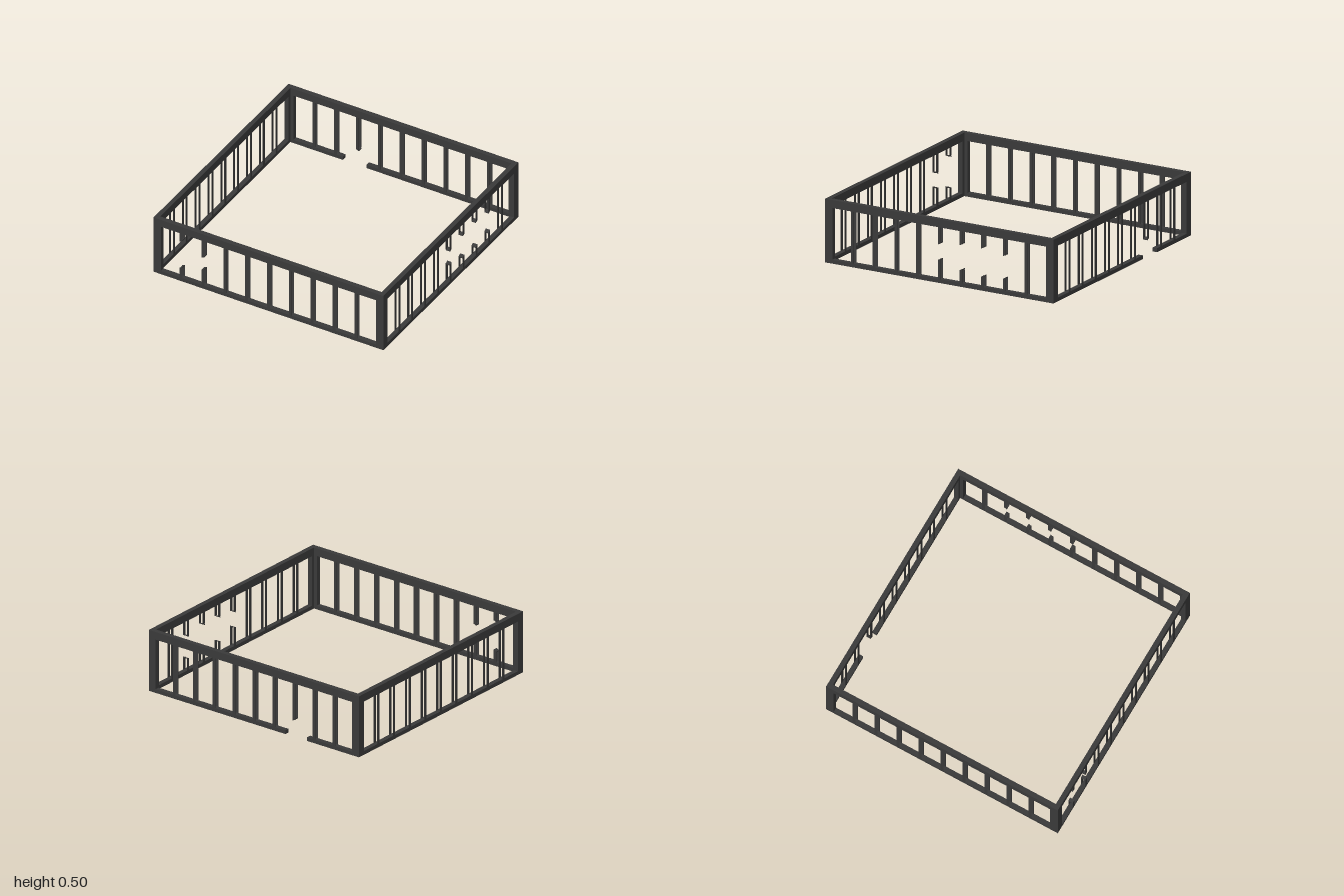
import * as THREE from 'three';

const T = 0.038;          // wall thickness
const BAR = 0.024;        // bar width
const SKIN = 0.004;       // thickness of the bar plates
const RAIL_LOW = 0.03, RAIL_HIGH = 0.437, TOP = 0.5;

const iron = new THREE.MeshStandardMaterial({ color: 0x3a3a3a });
iron.name = 'dark iron';

// Box given by its extents
function block(parent, name, x0, x1, y0, y1, z0, z1) {
  const mesh = new THREE.Mesh(new THREE.BoxGeometry(x1 - x0, y1 - y0, z1 - z0), iron);
  mesh.position.set((x0 + x1) / 2, (y0 + y1) / 2, (z0 + z1) / 2);
  mesh.name = name;
  parent.add(mesh);
}

// Hollow bar: an outer and an inner plate, open at the sides
function bar(parent, name, x, y0, y1) {
  const a = x - BAR / 2, b = x + BAR / 2;
  block(parent, name + 'OuterPlate', a, b, y0, y1, 1 - SKIN, 1);
  block(parent, name + 'InnerPlate', a, b, y0, y1, 1 - T, 1 - T + SKIN);
}

// Closed, slanted end of a broken bar
function brokenEnd(parent, x, y) {
  const g = new THREE.BoxGeometry(BAR, 0.008, T);
  const p = g.attributes.position;
  for (let i = 0; i < p.count; i++) p.setY(i, p.getY(i) + p.getX(i) * 0.5);
  g.computeVertexNormals();
  const cap = new THREE.Mesh(g, iron);
  cap.position.set(x, y, 1 - T / 2);
  cap.name = 'brokenEnd';
  parent.add(cap);
}

// One side of the railing, facing +z. broken maps bar index (-4..4) to
// [end of upper stub, end of lower stub]; gap is a missing piece of bottom rail.
function wall(name, turn, half, broken = {}, gap = null) {
  const g = new THREE.Group();
  g.name = name;
  block(g, 'topRail', -half, half, RAIL_HIGH, TOP, 1 - T, 1);
  if (gap) {
    block(g, 'bottomRail', -half, gap[0], 0, RAIL_LOW, 1 - T, 1);
    block(g, 'bottomRail', gap[1], half, 0, RAIL_LOW, 1 - T, 1);
  } else {
    block(g, 'bottomRail', -half, half, 0, RAIL_LOW, 1 - T, 1);
  }
  block(g, 'cornerPost', -half, -0.935, RAIL_LOW, RAIL_HIGH, 1 - T, 1);
  block(g, 'cornerPost', 0.935, half, RAIL_LOW, RAIL_HIGH, 1 - T, 1);

  for (let i = -4; i <= 4; i++) {
    const x = i * 0.19;
    if (!broken[i]) {
      bar(g, 'bar', x, RAIL_LOW, RAIL_HIGH);
      continue;
    }
    const [upper, lower] = broken[i];
    bar(g, 'upperStub', x, upper, RAIL_HIGH);
    brokenEnd(g, x, upper);
    if (lower) {
      bar(g, 'lowerStub', x, RAIL_LOW, lower);
      brokenEnd(g, x, lower);
    }
  }
  g.rotation.y = turn;
  return g;
}

export function createModel() {
  const model = new THREE.Group();
  model.name = 'brokenRailing';
  model.add(
    wall('frontWall', 0, 1, { '-4': [0.37, 0.12], '-3': [0.29, 0.17] }),
    wall('leftWall', Math.PI / 2, 1 - T, {
      0: [0.31, 0.18], 1: [0.335, 0.13], 2: [0.34, 0.11], 3: [0.31, 0.125],
    }),
    wall('backWall', Math.PI, 1, { 2: [0.14, 0] }, [0.3, 0.505]),
    wall('rightWall', -Math.PI / 2, 1 - T),
  );
  return model;
}
